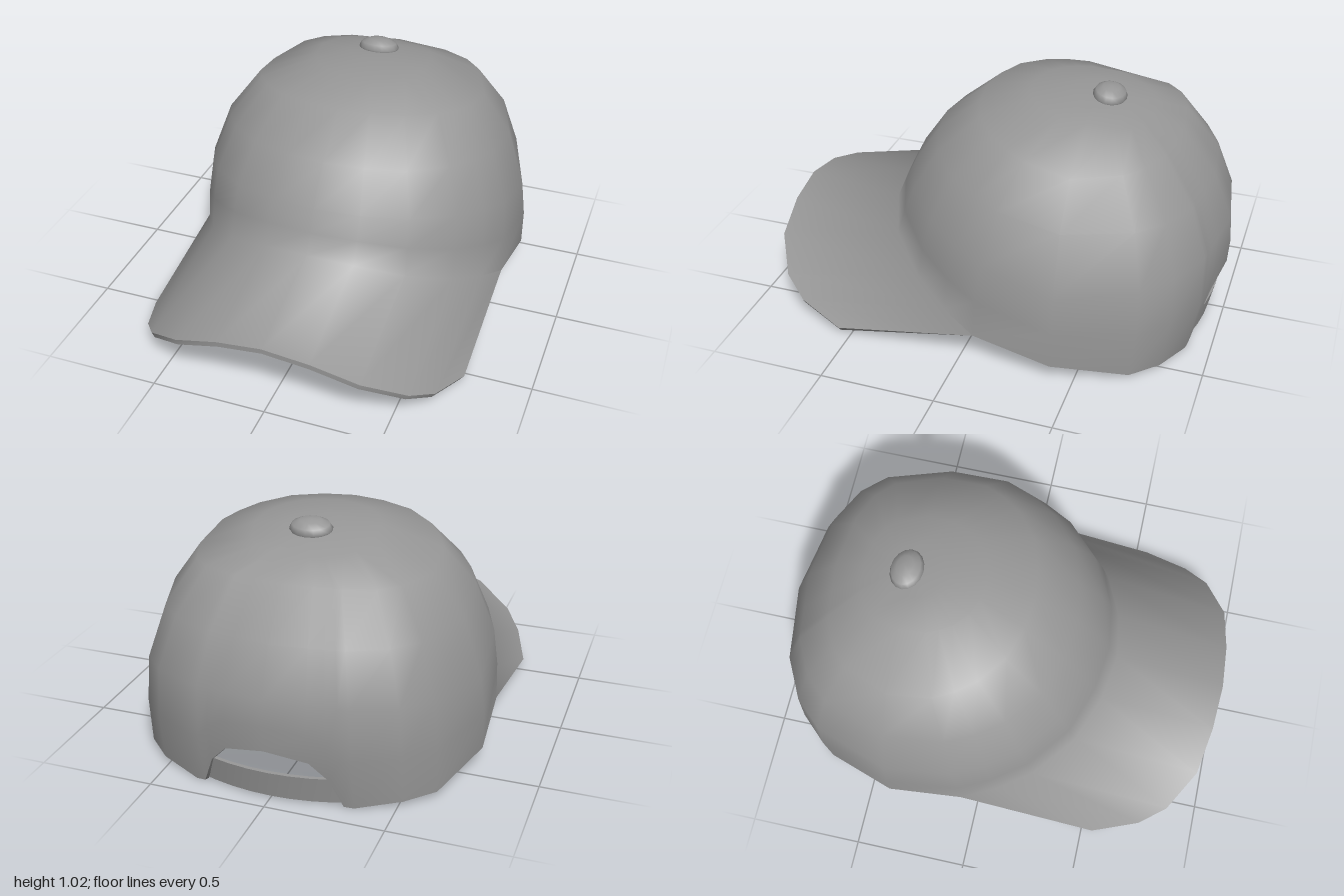
import * as THREE from 'three';
import { toCreasedNormals } from 'three/addons/utils/BufferGeometryUtils.js';

const { lerp } = THREE.MathUtils;
const material = new THREE.MeshStandardMaterial({ color: 0x979797, side: THREE.DoubleSide });

// Skin a grid of cross-sections; capped closes both ends of a four-row band.
function loft(name, rows, capped = false) {
  const cols = rows[0].length;
  const index = [];
  for (let i = 0; i < rows.length - 1; i++) {
    for (let j = 0; j < cols - 1; j++) {
      const a = i * cols + j, b = a + cols;
      index.push(a, b, a + 1, b, b + 1, a + 1);
    }
  }
  if (capped) {
    const e = cols - 1;
    index.push(0, 2 * cols, cols, 0, 3 * cols, 2 * cols);
    index.push(e, cols + e, 2 * cols + e, e, 2 * cols + e, 3 * cols + e);
  }
  const geometry = new THREE.BufferGeometry();
  geometry.setAttribute('position', new THREE.Float32BufferAttribute(rows.flat(2), 3));
  geometry.setIndex(index);
  const mesh = new THREE.Mesh(toCreasedNormals(geometry, 1.1), material);
  mesh.name = name;
  return mesh;
}

const mirrorX = ([x, y, z]) => [-x, y, z];
const wholeLoop = half => [...half, ...half.slice(0, -1).reverse().map(mirrorX)];

// Left half of the crown's lower edge, front to back: x, y, z.
const rim = [
  [0, 0.44, 0.5], [0.2, 0.42, 0.47], [0.4, 0.36, 0.39], [0.57, 0.27, 0.23],
  [0.66, 0.2, 0.08], [0.72, 0.14, -0.07],
  // repeated where the brim ends, so its side edge stays straight
  [0.72, 0.14, -0.07], [0.74, 0.08, -0.41], [0.63, 0.03, -0.74], [0.52, 0.025, -0.86],
  // rear opening
  [0.34, 0, -0.95], [0.3, 0.003, -0.956], [0.25, 0.13, -0.963], [0.175, 0.21, -0.974], [0, 0.25, -1],
];

// Brim's outer edge, paired with the first points of the rim.
const brimEdge = [
  [0, 0.335, 1], [0.2, 0.305, 0.99], [0.4, 0.235, 0.96],
  [0.57, 0.145, 0.86], [0.65, 0.085, 0.75], [0.72, 0.031, 0.55],
];

// Tilted crown rings from the top down: half width, side y, front z and y, back z and y.
const rings = [
  [0, 0.97, -0.44, 0.97, -0.44, 0.97],
  [0.12, 0.973, -0.28, 0.99, -0.54, 0.952],
  [0.26, 0.962, -0.1, 0.983, -0.63, 0.92],
  [0.51, 0.84, 0.11, 0.937, -0.76, 0.86],
  [0.64, 0.66, 0.3, 0.78, -0.91, 0.67],
  [0.72, 0.4, 0.41, 0.62, -0.99, 0.47],
];
const midZ = -0.41;

// How far a rim point lies towards the front (1) or the back (-1).
const foreAft = z => (z - midZ) / (z > midZ ? 0.91 : 0.59);

function ringPoint([width, y, frontZ, frontY, backZ, backY], [x, , z]) {
  const w = foreAft(z), t = Math.abs(w);
  const centre = width ? midZ : -0.44;
  return [x / 0.74 * width, lerp(y, w > 0 ? frontY : backY, t), lerp(centre, w > 0 ? frontZ : backZ, t)];
}

// The back of the crown draws in towards its lower edge.
function tuck([x, y, z]) {
  const back = Math.max(0, (-0.25 - z) / 0.75);
  return [x, y, -0.25 + (z + 0.25) * (1 - back * Math.max(0, 0.28 - y) * 0.3)];
}

// Crown and brim share one skin, with a lining inside.
function makeCrownAndBrim() {
  const outer = rings.map(ring => rim.map(p => ringPoint(ring, p)));
  outer.push(rim.map(p => {
    const top = ringPoint(rings[rings.length - 1], p);
    const spread = lerp(1, 0.5, Math.max(0, foreAft(p[2])));
    return tuck([lerp(top[0], p[0], spread), lerp(top[1], p[1], 0.5), lerp(top[2], p[2], spread)]);
  }));
  outer.push(rim.map(tuck));

  const last = outer.length - 1;
  const lining = outer.map((row, i) => row.map(([x, y, z]) => [
    x * 0.975, y - 0.02 * (1 - i / last), -0.25 + (z + 0.25) * 0.975,
  ]));

  // behind the brim these rows fold back onto the rim
  const brimTop = outer[last].map((p, i) => brimEdge[i] ?? p);
  const brimUnder = lining[last].map((p, i) => {
    if (i >= brimEdge.length) return p;
    const [x, y, z] = brimEdge[i];
    return [x * 0.978, y - 0.022, z];
  });
  return loft('crownAndBrim', [...outer, brimTop, brimUnder, ...lining.reverse()].map(wholeLoop));
}

function makeStrap() {
  const band = (y, z) => Array.from({ length: 9 }, (_, i) => {
    const x = 0.345 * (1 - i / 4);
    return [x, y, z + 0.55 * x * x];
  });
  const top = band(0.13, -0.957);
  return loft('backStrap', [top, band(0.01, -0.932), band(0.01, -0.915), band(0.13, -0.94), top], true);
}

function makeButton() {
  const button = new THREE.Mesh(new THREE.SphereGeometry(1, 16, 6), material);
  button.name = 'topButton';
  button.scale.set(0.092, 0.043, 0.073);
  button.position.set(0, 0.976, -0.437);
  button.rotation.x = -0.15;
  return button;
}

export function createModel() {
  const cap = new THREE.Group();
  cap.name = 'cap';
  cap.add(makeCrownAndBrim(), makeStrap(), makeButton());
  return cap;
}
